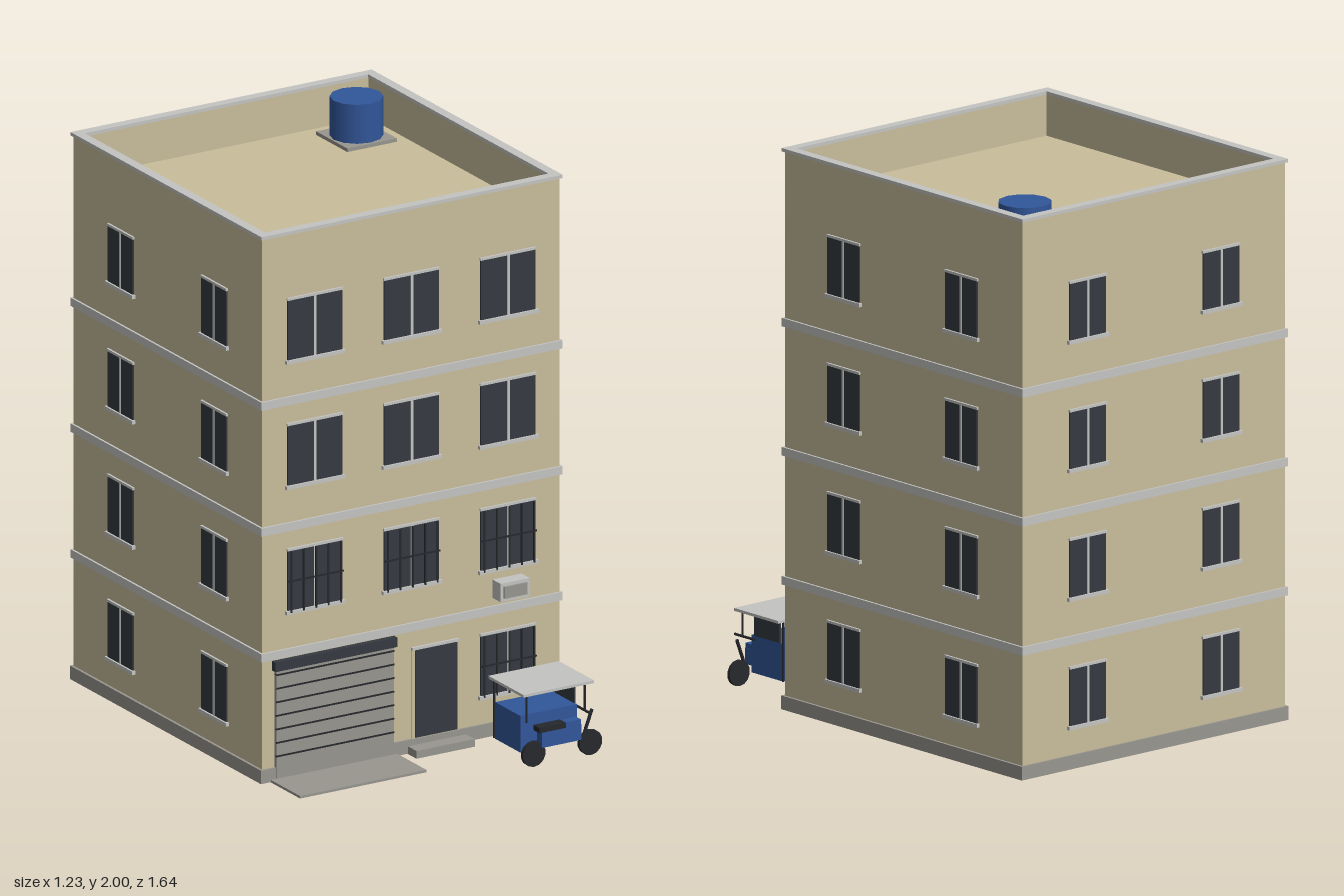
import * as THREE from 'three';

const mat = (name, color, opts = {}) => {
  const m = new THREE.MeshStandardMaterial({ color, ...opts });
  m.name = name;
  return m;
};

export function createModel() {
  const wall = mat('wall beige', 0xc9bd9b);
  const trim = mat('trim light grey', 0xc4c4c2);
  const concrete = mat('concrete grey', 0x98968f);
  const glass = mat('dark glass', 0x353a41);
  const black = mat('black metal', 0x25282c);
  const blue = mat('blue paint', 0x31569a);

  const model = new THREE.Group();
  model.name = 'apartmentBuilding';

  const add = (parent, name, geo, material, x, y, z) => {
    const m = new THREE.Mesh(geo, material);
    m.name = name;
    m.position.set(x, y, z);
    parent.add(m);
    return m;
  };
  // Box given by its limits on each axis
  const box = (parent, name, material, x0, x1, y0, y1, z0, z1) =>
    add(parent, name, new THREE.BoxGeometry(x1 - x0, y1 - y0, z1 - z0), material,
      (x0 + x1) / 2, (y0 + y1) / 2, (z0 + z1) / 2);
  const group = (parent, name) => {
    const g = new THREE.Group();
    g.name = name;
    parent.add(g);
    return g;
  };
  // Round bar between two points
  const bar = (parent, name, a, b, r, material = black) => {
    const p = new THREE.Vector3(...a), q = new THREE.Vector3(...b);
    const d = q.clone().sub(p), c = p.clone().add(q).multiplyScalar(0.5);
    const m = add(parent, name, new THREE.CylinderGeometry(r, r, d.length(), 6), material, c.x, c.y, c.z);
    m.quaternion.setFromUnitVectors(new THREE.Vector3(0, 1, 0), d.normalize());
    return m;
  };

  const W = 0.6, ZB = -0.81, ZF = 0.43, ROOF = 1.84;

  // Main block, plinth and floor bands
  box(model, 'walls', wall, -W, W, 0, ROOF, ZB, ZF);
  box(model, 'plinth', concrete, -W - 0.01, W + 0.01, 0.001, 0.05, ZB - 0.008, ZF + 0.008);
  for (const y of [0.46, 0.92, 1.38])
    box(model, 'floorBand', trim, -W - 0.008, W + 0.008, y - 0.015, y + 0.015, ZB - 0.008, ZF + 0.008);

  // Parapet and its cap: rectangular rings
  const ring = (name, material, out, inset, y0, y1) => {
    const rect = (T, e) => {
      const s = new T();
      s.moveTo(-W - e, -ZF - e).lineTo(W + e, -ZF - e).lineTo(W + e, -ZB + e).lineTo(-W - e, -ZB + e).closePath();
      return s;
    };
    const shape = rect(THREE.Shape, out);
    shape.holes.push(rect(THREE.Path, -inset));
    const geo = new THREE.ExtrudeGeometry(shape, { depth: y1 - y0, bevelEnabled: false });
    geo.rotateX(-Math.PI / 2);
    add(model, name, geo, material, 0, y0, 0);
  };
  ring('parapet', wall, 0, 0.024, ROOF, 1.988);
  ring('parapetCap', trim, 0.008, 0.028, 1.988, 2);

  // Water tank on its pad
  box(model, 'tankPad', concrete, 0.33, 0.53, ROOF, 1.853, -0.73, -0.525);
  const tankGeo = new THREE.CylinderGeometry(0.093, 0.093, 0.142, 12);
  add(model, 'waterTank', tankGeo, blue, 0.43, 1.924, -0.628);

  // Window with sill, head, mullion and optional security bars, facing +z
  const makeWindow = (w, h, grille) => {
    const g = new THREE.Group();
    g.name = 'window';
    box(g, 'pane', glass, -w / 2, w / 2, 0, h, 0, 0.006);
    box(g, 'mullion', trim, -0.005, 0.005, 0, h, 0, 0.008);
    box(g, 'head', trim, -w / 2 - 0.003, w / 2 + 0.003, h, h + 0.009, 0, 0.008);
    box(g, 'sill', trim, -w / 2 - 0.009, w / 2 + 0.009, -0.013, 0, 0, 0.013);
    if (grille) {
      for (let i = 0; i < 5; i++) {
        const x = -w / 2 + 0.01 + (i * (w - 0.02)) / 4;
        box(g, 'grilleBar', black, x - 0.003, x + 0.003, -0.006, h, 0.01, 0.015);
      }
      box(g, 'grilleRail', black, -w / 2, w / 2, h / 2 - 0.003, h / 2 + 0.003, 0.01, 0.015);
    }
    return g;
  };
  const place = (win, x, y, z, turn) => {
    win.position.set(x, y, z);
    win.rotation.y = turn;
    model.add(win);
  };

  for (let f = 0; f < 4; f++) {
    const y = 0.155 + f * 0.458;
    // Front windows: the ground floor has only the one at +x
    for (const x of f ? [-0.39, 0, 0.39] : [0.39])
      place(makeWindow(0.22, 0.218, f < 2), x, y, ZF, 0);
    // Side and back windows
    for (const z of [0.12, -0.495]) {
      place(makeWindow(0.165, 0.202, false), W, y, z, Math.PI / 2);
      place(makeWindow(0.165, 0.202, false), -W, y, z, -Math.PI / 2);
    }
    for (const x of [-0.305, 0.305])
      place(makeWindow(0.165, 0.202, false), x, y, ZB, Math.PI);
  }

  // Roller shutter, its housing and the ramp
  box(model, 'shutter', concrete, -0.55, -0.075, 0.012, 0.41, ZF, ZF + 0.011);
  for (let i = 0; i < 7; i++) {
    const y = 0.092 + i * 0.0495;
    box(model, 'shutterGroove', black, -0.55, -0.075, y - 0.003, y + 0.003, ZF, ZF + 0.013);
  }
  box(model, 'shutterHousing', glass, -0.56, -0.068, 0.405, 0.44, ZF, ZF + 0.022);
  box(model, 'ramp', concrete, -0.57, -0.06, 0, 0.009, ZF, 0.63);

  // Entrance door and step
  box(model, 'doorSurround', wall, 0, 0.19, 0.05, 0.376, ZF, ZF + 0.004);
  box(model, 'door', glass, 0.014, 0.183, 0.053, 0.372, ZF, ZF + 0.008);
  box(model, 'doorHead', trim, 0, 0.19, 0.374, 0.384, ZF, ZF + 0.01);
  box(model, 'entranceStep', concrete, -0.017, 0.218, 0, 0.028, ZF, 0.495);

  // Air conditioner
  box(model, 'airConditioner', trim, 0.33, 0.447, 0.503, 0.57, ZF, 0.483);
  box(model, 'airConditionerGrille', concrete, 0.342, 0.435, 0.515, 0.558, 0.483, 0.49);

  // Motorcycle with a covered sidecar, heading +x
  const trike = group(model, 'motorTricycle');
  const wheel = (x, z, r) => {
    const geo = new THREE.CylinderGeometry(r, r, 0.014, 14);
    geo.rotateX(Math.PI / 2);
    add(trike, 'wheel', geo, black, x, r, z);
  };
  wheel(0.285, 0.77, 0.046);
  wheel(0.514, 0.77, 0.046);
  wheel(0.367, 0.57, 0.038);
  box(trike, 'sidecarBody', blue, 0.25, 0.48, 0.048, 0.182, 0.577, 0.742);
  box(trike, 'windshield', glass, 0.476, 0.482, 0.182, 0.257, 0.592, 0.727);
  box(trike, 'canopy', trim, 0.235, 0.52, 0.265, 0.275, 0.557, 0.787);
  for (const x of [0.25, 0.485])
    for (const z of [0.57, 0.783])
      bar(trike, 'canopyPost', [x, z > 0.7 ? 0.17 : 0.05, z], [x, 0.267, z], 0.004);
  box(trike, 'motorcycleBody', blue, 0.31, 0.47, 0.068, 0.124, 0.753, 0.787);
  box(trike, 'fuelTank', blue, 0.405, 0.468, 0.124, 0.142, 0.753, 0.787);
  box(trike, 'seat', black, 0.298, 0.405, 0.124, 0.143, 0.75, 0.79);
  bar(trike, 'fork', [0.49, 0.08, 0.77], [0.522, 0.165, 0.77], 0.006);
  bar(trike, 'handlebar', [0.487, 0.17, 0.715], [0.487, 0.17, 0.82], 0.005);

  return model;
}
